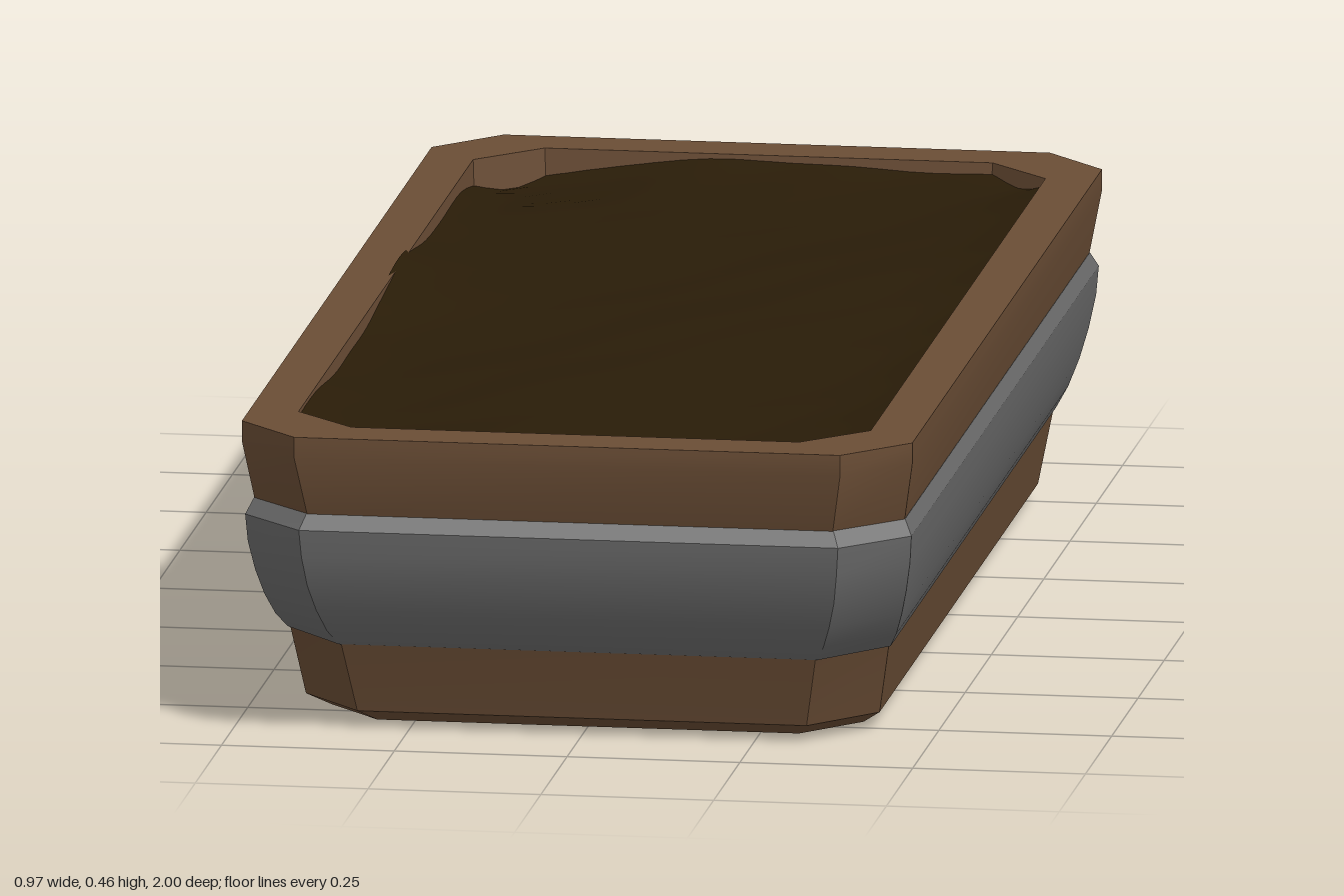
import * as THREE from 'three';
import { toCreasedNormals } from 'three/addons/utils/BufferGeometryUtils.js';

// Rectangle with cut corners, half sizes hx and hz, corner cuts cx and cz
function octagon(y, hx, hz, cx, cz = cx) {
  const x = hx - cx, z = hz - cz;
  return [[hx, -z], [hx, z], [x, hz], [-x, hz], [-hx, z], [-hx, -z], [-x, -hz], [x, -hz]]
    .map(([px, pz]) => [px, y, pz]);
}

// Skin a stack of cut-corner sections [y, hx, hz, cx, cz]
function loft(sections) {
  const rings = sections.map((s) => octagon(...s));
  const pos = [];
  for (let i = 0; i < rings.length - 1; i++) {
    for (let j = 0; j < 8; j++) {
      const k = (j + 1) % 8;
      const a = rings[i][j], b = rings[i][k], c = rings[i + 1][j], d = rings[i + 1][k];
      pos.push(...a, ...c, ...b, ...b, ...c, ...d);
    }
  }
  const geometry = new THREE.BufferGeometry();
  geometry.setAttribute('position', new THREE.Float32BufferAttribute(pos, 3));
  return toCreasedNormals(geometry, 0.4);
}

// Uneven earth, trimmed to the planter's cut corners
function soilGeometry() {
  const hx = 0.42, hz = 0.928, cut = 0.09;
  const geometry = new THREE.PlaneGeometry(2 * hx, 2 * hz, 20, 44).rotateX(-Math.PI / 2);
  const p = geometry.attributes.position;
  for (let i = 0; i < p.count; i++) {
    let x = p.getX(i), z = p.getZ(i);
    const over = Math.max(0, Math.abs(x) + Math.abs(z) - (hx + hz - cut)) / 2;
    x -= Math.sign(x) * over;
    z -= Math.sign(z) * over;
    // banked up at the edges, hollow in one back corner, waves along one side, small lumps
    const bank = 0.02 * Math.max(Math.abs(x / hx) ** 8, Math.abs(z / hz) ** 16);
    const hollow = 0.035 * Math.exp(-((x + hx) ** 2 + (z + hz) ** 2) / 0.04);
    const waves = 0.009 * Math.cos((z + 0.1) * 7.85) * Math.exp(-((x + hx) ** 2) / 0.01);
    const lumps = Math.sin(9 * x + 4 * z) * 0.004 + Math.sin(13 * z - 7 * x + 1) * 0.003
      + Math.sin(31 * x + 23 * z) * 0.001;
    p.setXYZ(i, x, 0.424 + bank + waves + lumps - hollow, z);
  }
  geometry.computeVertexNormals();
  return geometry;
}

export function createModel() {
  const wood = new THREE.MeshStandardMaterial({ name: 'brown wood', color: 0x6a4d35 });
  const metal = new THREE.MeshStandardMaterial({ name: 'grey metal', color: 0x6a6a6a });
  const earth = new THREE.MeshStandardMaterial({ name: 'dark earth', color: 0x291c08 });

  const group = new THREE.Group();
  group.name = 'planter';
  const add = (name, geometry, material) => {
    const mesh = new THREE.Mesh(geometry, material);
    mesh.name = name;
    group.add(mesh);
  };

  // Trough: underside, bevelled foot, flared wall, flat rim and inner wall
  add('trough', loft([
    [0, 0, 0, 0],
    [0, 0.385, 0.80, 0.08, 0.09],
    [0.025, 0.415, 0.858, 0.09, 0.103],
    [0.13, 0.433, 0.893, 0.09, 0.107],
    [0.335, 0.47, 0.972, 0.09, 0.092],
    [0.425, 0.485, 1.0, 0.09, 0.096],
    [0.455, 0.485, 1.0, 0.09, 0.096],
    [0.455, 0.414, 0.922, 0.09],
    [0.36, 0.41, 0.915, 0.09],
  ]), wood);

  // Rounded band wrapped around the wall
  add('band', loft([
    [0.13, 0.43, 0.885, 0.09, 0.106],
    [0.13, 0.436, 0.895, 0.09, 0.106],
    [0.155, 0.449, 0.922, 0.09, 0.102],
    [0.19, 0.461, 0.946, 0.09, 0.098],
    [0.23, 0.471, 0.966, 0.09, 0.096],
    [0.275, 0.479, 0.982, 0.092, 0.095],
    [0.316, 0.482, 0.988, 0.092, 0.095],
    [0.338, 0.471, 0.972, 0.09, 0.092],
    [0.338, 0.465, 0.965, 0.09],
  ]), metal);

  add('soil', soilGeometry(), earth);
  return group;
}
